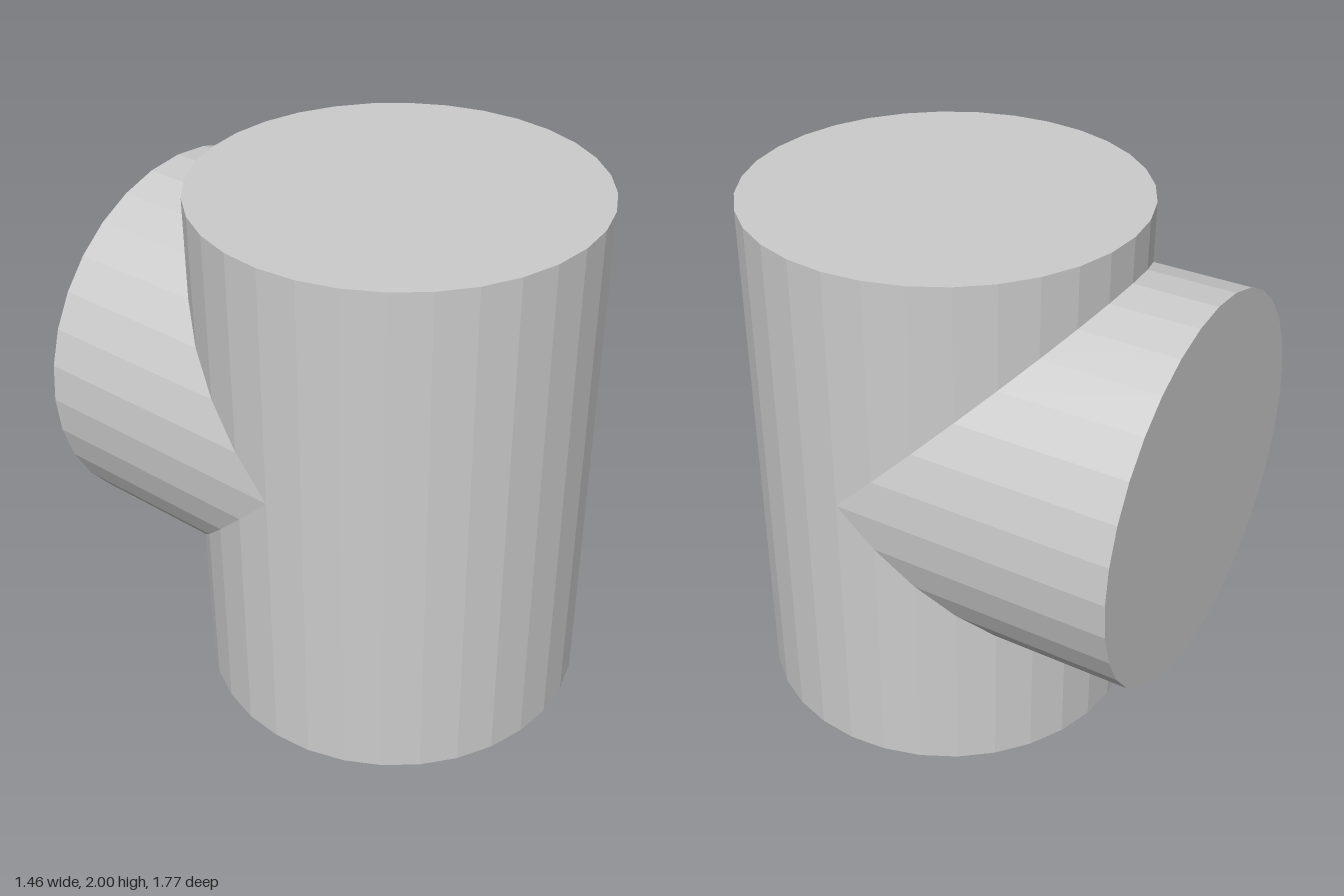
import * as THREE from 'three';

const R = 0.73;        // both pipes share one radius
const SIDES = 32;
const AXIS_Z = 0.155;  // axis of the upright cylinder
const BRANCH_Y = 1.1;  // axis of the side branch
const BACK_Z = -0.885; // end face of the branch

const material = new THREE.MeshStandardMaterial({ color: 0xcccccc, flatShading: true });

function addPart(group, name, geometry) {
  const flat = geometry.toNonIndexed();
  flat.computeVertexNormals();
  const mesh = new THREE.Mesh(flat, material);
  mesh.name = name;
  group.add(mesh);
}

export function createModel() {
  const group = new THREE.Group();
  group.name = 'teeJunction';

  // Upright closed cylinder
  const main = new THREE.CylinderGeometry(R, R, 2, SIDES);
  main.translate(0, 1, AXIS_Z);
  addPart(group, 'uprightCylinder', main);

  // Branch towards the back: wall plus closed end, open where it meets the upright
  const length = AXIS_Z - BACK_Z;
  const profile = [[R, 0], [R, length], [0, length]].map(([x, y]) => new THREE.Vector2(x, y));
  const branch = new THREE.LatheGeometry(profile, SIDES);
  branch.rotateX(-Math.PI / 2);

  // Mitre the open end at 45 degrees so it follows the seam of two equal cylinders
  const pos = branch.attributes.position;
  for (let i = 0; i < pos.count; i++) {
    if (pos.getZ(i) > -0.001) pos.setZ(i, -Math.abs(pos.getY(i)));
  }
  branch.translate(0, BRANCH_Y, AXIS_Z);
  addPart(group, 'sideBranch', branch);

  return group;
}
